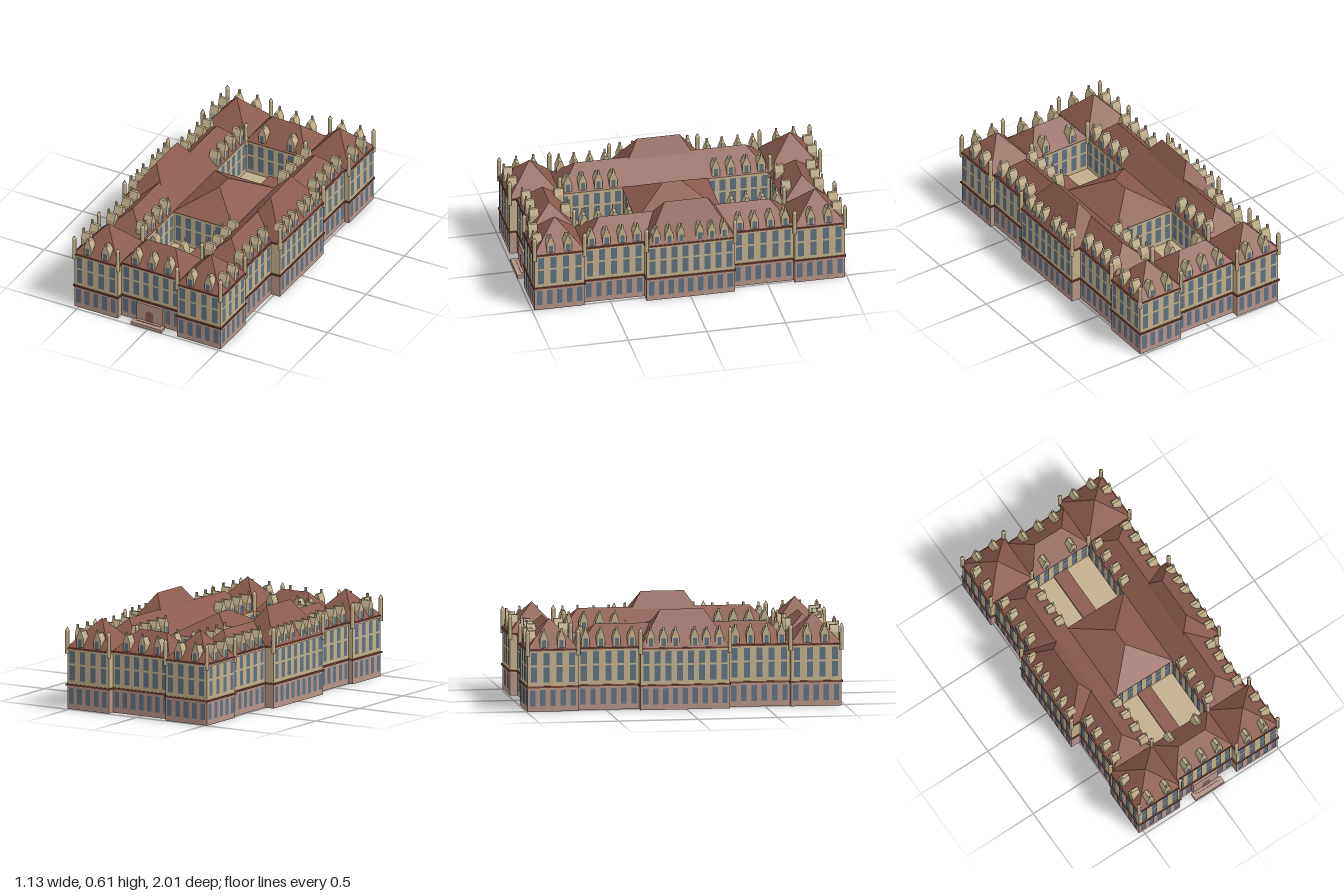
import * as THREE from 'three';

const mat = (name, color, side = THREE.FrontSide) => {
  const m = new THREE.MeshStandardMaterial({ color, side });
  m.name = name;
  return m;
};

export function createModel() {
  const pink = mat('pink stone', 0xb39488, THREE.DoubleSide);
  const cream = mat('cream stone', 0xc2b08c);
  const roofRed = mat('roof red', 0x8b5a4d);
  const darkRed = mat('dark red trim', 0x74443a);
  const glass = mat('blue glass', 0x5f7082, THREE.DoubleSide);

  const model = new THREE.Group();
  model.name = 'palace';
  const body = new THREE.Group();
  body.name = 'building';
  body.rotation.y = -0.008;
  body.position.set(-0.005, 0, -0.005);
  model.add(body);

  const add = (name, geo, material, x = 0, y = 0, z = 0, parent = body) => {
    const m = new THREE.Mesh(geo, material);
    m.name = name;
    m.position.set(x, y, z);
    parent.add(m);
    return m;
  };
  // Box given by its limits
  const box = (name, material, x0, x1, y0, y1, z0, z1, parent) =>
    add(name, new THREE.BoxGeometry(x1 - x0, y1 - y0, z1 - z0), material,
      (x0 + x1) / 2, (y0 + y1) / 2, (z0 + z1) / 2, parent);

  // Plan: one quarter, mirrored to the whole outline (x, z)
  const quarter = [[0.21, 0.937], [0.21, 0.985], [0.518, 0.985], [0.518, 0.667],
    [0.487, 0.667], [0.487, 0.28], [0.55, 0.28]];
  const half = [...quarter, ...quarter.map(([x, z]) => [x, -z]).reverse()];
  const outline = [...half, ...half.map(([x, z]) => [-x, z]).reverse()];
  const courts = [1, -1].map((s) => {
    const a = s > 0 ? 0.265 : -0.667, b = s > 0 ? 0.667 : -0.265;
    return [[-0.21, a], [0.21, a], [0.21, b], [-0.21, b]];
  });
  const toPoints = (pts) => pts.map(([x, z]) => new THREE.Vector2(x, -z));
  const plan = (holes) => {
    const s = new THREE.Shape(toPoints(outline));
    if (holes) courts.forEach((c) => s.holes.push(new THREE.Path(toPoints(c))));
    return s;
  };
  const slab = (name, shape, y, height) => {
    const g = new THREE.ExtrudeGeometry(shape, { depth: height, bevelEnabled: false });
    add(name, g.rotateX(-Math.PI / 2), cream, 0, y, 0);
  };
  slab('courtFloor', plan(false), 0.145, 0.01);
  slab('upperStoreys', plan(true), 0.155, 0.23);

  // Row of thin windows along a wall, in the wall's own frame
  const windowRow = (wall, len, spacing, w, y0, y1, skip) => {
    const n = Math.round(len / spacing);
    for (let i = 0; i < n; i++) {
      const x = ((i + 0.5) / n - 0.5) * len;
      if (Math.abs(x) < skip) continue;
      add('window', new THREE.PlaneGeometry(w, y1 - y0), glass, x, (y0 + y1) / 2, 0.003, wall);
    }
  };
  // Walls, trim and windows for every edge of a closed path
  const facades = (pts, outer) => pts.forEach(([x0, z0], i) => {
    const [x1, z1] = pts[(i + 1) % pts.length];
    const len = Math.hypot(x1 - x0, z1 - z0);
    const wall = new THREE.Group();
    wall.name = outer ? 'outerFacade' : 'courtFacade';
    wall.position.set((x0 + x1) / 2, 0, (z0 + z1) / 2);
    wall.rotation.y = Math.atan2(z0 - z1, x1 - x0);
    body.add(wall);
    const e = len / 2 + 0.007;
    if (outer) {
      add('groundWall', new THREE.PlaneGeometry(len, 0.15), pink, 0, 0.075, 0, wall);
      box('floorBand', darkRed, -e, e, 0.148, 0.159, -0.007, 0.007, wall);
      box('corniceBand', cream, -e, e, 0.371, 0.38, -0.007, 0.006, wall);
      box('gutter', darkRed, -e, e, 0.38, 0.39, -0.007, 0.009, wall);
    }
    if (len < 0.1) return;
    const hasPorch = outer && z0 > 0.9 && z1 > 0.9 && len > 0.4;
    if (outer) windowRow(wall, len, 0.0615, 0.034, 0.035, 0.135, hasPorch ? 0.1 : -1);
    windowRow(wall, len, 0.073, 0.038, 0.183, 0.278, -1);
    windowRow(wall, len, 0.073, 0.038, 0.29, 0.368, -1);
  });
  facades(outline, true);
  courts.forEach((c) => facades(c, false));

  // Hipped roof: a box whose top corners are pulled inward
  const hip = (name, cx, cz, w, d, top, inX, inZ) => {
    const y0 = 0.386;
    const g = new THREE.BoxGeometry(w, top - y0, d);
    const p = g.attributes.position;
    for (let i = 0; i < p.count; i++) {
      if (p.getY(i) < 0) continue;
      p.setX(i, p.getX(i) - Math.sign(p.getX(i)) * inX);
      p.setZ(i, p.getZ(i) - Math.sign(p.getZ(i)) * inZ);
    }
    g.computeVertexNormals();
    add(name, g, roofRed, cx, (y0 + top) / 2, cz);
  };
  hip('centreRoof', 0, 0, 0.43, 0.545, 0.515, 0.215, 0.215);
  for (const s of [1, -1]) {
    hip('wingRoof', s * 0.349, 0, 0.286, 1.34, 0.52, 0.143, 0.13);
    hip('sidePavilionRoof', s * 0.405, 0, 0.304, 0.57, 0.61, 0.152, 0.15);
    hip('endBlockRoof', 0, s * 0.802, 0.425, 0.285, 0.518, 0.113, 0.1425);
    for (const t of [1, -1])
      hip('cornerPavilionRoof', s * 0.364, t * 0.826, 0.32, 0.332, 0.565, 0.16, 0.166);
    // Low gallery roof along the court
    box('galleryRoof', roofRed, -0.048, 0.048, 0.155, 0.172,
      s > 0 ? 0.265 : -0.667, s > 0 ? 0.667 : -0.265);
  }

  // Gabled dormer with window and finial; its face looks along the angle
  const gable = new THREE.Shape([[-0.025, 0], [0.025, 0], [0.025, 0.067], [0.009, 0.108],
    [-0.009, 0.108], [-0.025, 0.067]].map(([x, y]) => new THREE.Vector2(x, y)));
  const gableGeo = new THREE.ExtrudeGeometry(gable, { depth: 0.058, bevelEnabled: false });
  const dormer = (x, z, angle) => {
    const d = new THREE.Group();
    d.name = 'dormer';
    d.position.set(x, 0.387, z);
    d.rotation.y = angle;
    body.add(d);
    add('dormerBody', gableGeo, cream, 0, 0, -0.06, d);
    add('dormerWindow', new THREE.PlaneGeometry(0.026, 0.05), glass, 0, 0.035, 0.0005, d);
    box('dormerFinial', cream, -0.006, 0.006, 0.1, 0.131, -0.014, -0.002, d);
  };
  const turret = (x, z) => {
    add('turret', new THREE.CylinderGeometry(0.013, 0.013, 0.145, 8).toNonIndexed(), cream, x, 0.4225, z);
    add('turretCap', new THREE.ConeGeometry(0.014, 0.025, 8), cream, x, 0.5075, z);
  };
  const Q = Math.PI / 2;
  for (const s of [1, -1]) {
    const out = s > 0 ? 0 : Math.PI;
    // End blocks: outer and court side
    for (const x of [-0.115, 0, 0.115]) dormer(x, s * 0.935, out);
    for (const x of [-0.1, 0.1]) dormer(x, s * 0.669, Math.PI - out);
    // Side pavilions
    for (const z of [-0.215, -0.135, -0.06, 0.06, 0.135, 0.215]) dormer(s * 0.548, z, s * Q);
    for (const t of [1, -1]) {
      // Corner pavilions
      for (const o of [-0.063, 0.063]) {
        dormer(s * (0.364 + o), t * 0.983, t > 0 ? 0 : Math.PI);
        dormer(s * 0.516, t * (0.826 + o * 0.87), s * Q);
      }
      // Long wings, outside and towards the courts
      for (const z of [0.325, 0.42, 0.52, 0.615]) {
        dormer(s * 0.485, t * z, s * Q);
        dormer(s * 0.212, t * z, -s * Q);
      }
      for (const [x, z] of [[0.21, 0.985], [0.518, 0.985], [0.518, 0.667], [0.21, 0.667], [0.55, 0.28]])
        turret(s * x, t * z);
    }
  }

  // Entrance porch, steps and arched door
  box('porch', pink, -0.092, 0.092, 0, 0.146, 0.93, 0.957);
  box('upperStep', pink, -0.085, 0.085, 0, 0.026, 0.95, 0.975);
  box('lowerStep', pink, -0.108, 0.108, 0, 0.022, 0.955, 1.004);
  const arch = new THREE.Shape();
  arch.moveTo(-0.026, 0);
  arch.lineTo(0.026, 0);
  arch.lineTo(0.026, 0.05);
  arch.absarc(0, 0.05, 0.026, 0, Math.PI, false);
  add('door', new THREE.ShapeGeometry(arch, 10), roofRed, 0, 0.026, 0.96);

  return model;
}
